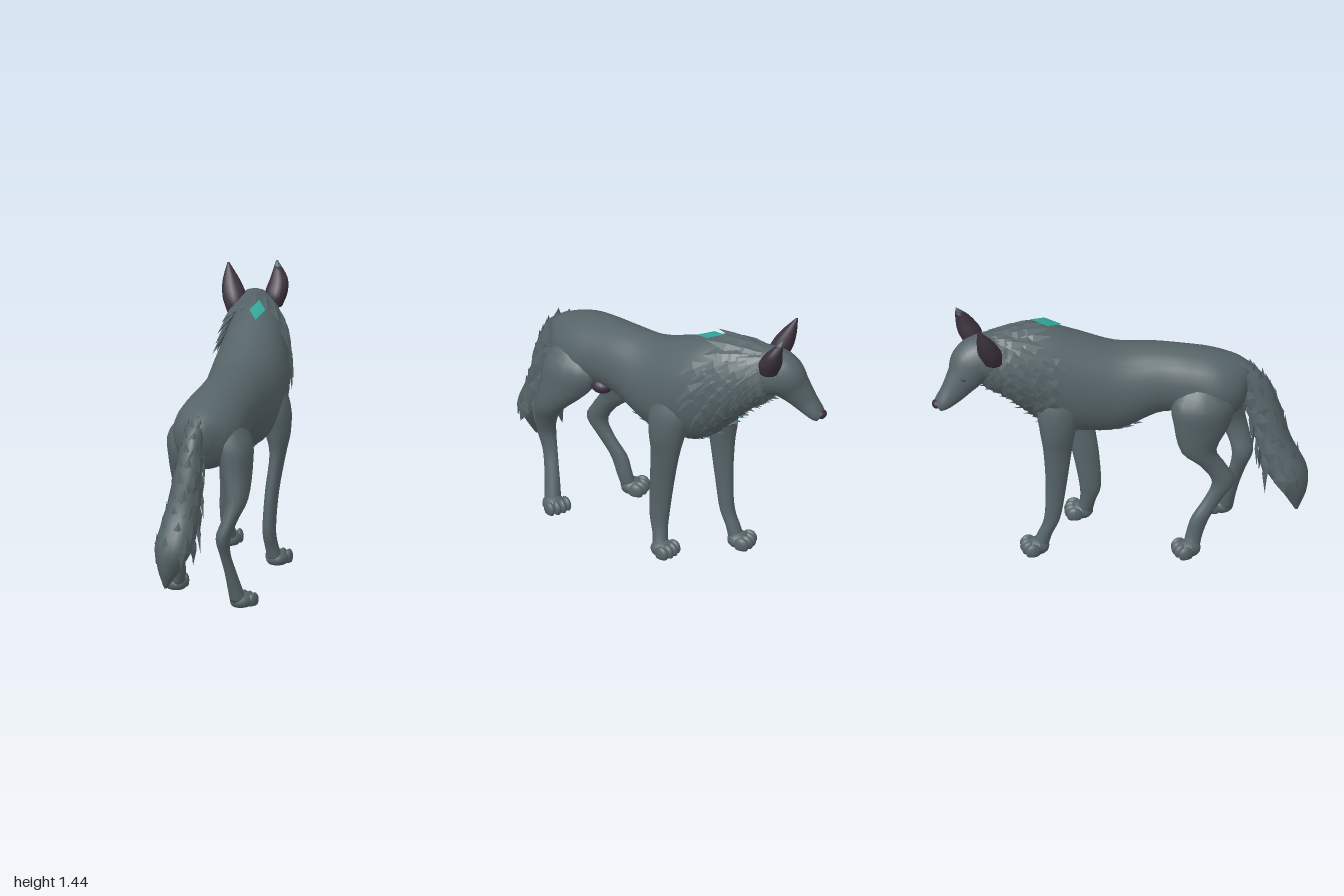
import * as THREE from 'three';
import { mergeGeometries } from 'three/addons/utils/BufferGeometryUtils.js';

const V = (x, y, z) => new THREE.Vector3(x, y, z);

const material = (name, color) => {
  const m = new THREE.MeshStandardMaterial({ color });
  m.name = name;
  return m;
};

// Seeded random numbers for the fur
let seed = 7;
const rand = () => (seed = (seed * 16807) % 2147483647) / 2147483647;

// Smooth sampler over rows of [x, y, z, halfWidth, halfDepth]; axis fixes the section plane
function sampler(rows, axis) {
  const centre = new THREE.CatmullRomCurve3(rows.map(r => V(r[0], r[1], r[2])), false, 'catmullrom');
  const radii = new THREE.CatmullRomCurve3(rows.map(r => V(r[3], r[4], 0)), false, 'catmullrom');
  return (t, a) => {
    const c = centre.getPoint(t), r = radii.getPoint(t);
    const w = axis ? axis.clone() : centre.getTangent(t);
    const u = V(1, 0, 0).addScaledVector(w, -w.x).normalize();
    const v = w.clone().cross(u);
    const cos = Math.cos(a), sin = Math.sin(a);
    const normal = u.clone().multiplyScalar(cos / Math.max(r.x, 0.004))
      .addScaledVector(v, sin / Math.max(r.y, 0.004)).normalize();
    const point = c.clone().addScaledVector(u, r.x * cos).addScaledVector(v, r.y * sin);
    return { c, point, normal };
  };
}

// Closed skin through the sampled sections
function loft(at, steps = 24, sides = 18) {
  const pos = [], index = [];
  for (let i = 0; i <= steps; i++)
    for (let j = 0; j < sides; j++)
      pos.push(...at(i / steps, (j / sides) * Math.PI * 2).point.toArray());
  for (let i = 0; i < steps; i++)
    for (let j = 0; j < sides; j++) {
      const a = i * sides + j, b = i * sides + (j + 1) % sides;
      index.push(a, b, a + sides, b, b + sides, a + sides);
    }
  const first = pos.length / 3, last = steps * sides;
  pos.push(...at(0, 0).c.toArray(), ...at(1, 0).c.toArray());
  for (let j = 0; j < sides; j++) {
    const k = (j + 1) % sides;
    index.push(first, k, j, first + 1, last + j, last + k);
  }
  const g = new THREE.BufferGeometry();
  g.setAttribute('position', new THREE.Float32BufferAttribute(pos, 3));
  g.setIndex(index);
  g.computeVertexNormals();
  return g;
}

// One flat blade of fur, pointed at both ends, lying along flow
function lock({ point, normal }, flow, length, width, lift) {
  const d = flow.clone().addScaledVector(normal, -flow.dot(normal)).normalize()
    .addScaledVector(normal, lift).normalize();
  const side = d.clone().cross(normal).normalize();
  const out = side.clone().cross(d);
  const g = new THREE.OctahedronGeometry(1);
  g.scale(width, length / 2, width * 0.28);
  g.translate(0, length * 0.3, 0);
  g.applyMatrix4(new THREE.Matrix4().makeBasis(side, d, out).setPosition(point));
  return g;
}

// Squashed ball that rests flat on the ground
function pad(x, y, z, rx, ry, rz) {
  const g = new THREE.SphereGeometry(1, 14, 10);
  g.scale(rx, ry, rz);
  g.translate(x, y, z);
  const p = g.attributes.position;
  for (let i = 0; i < p.count; i++) p.setY(i, Math.max(0, p.getY(i)));
  g.computeVertexNormals();
  return g;
}

export function createModel() {
  const wolf = new THREE.Group();
  wolf.name = 'wolf';
  const fur = material('greyFur', 0x566468);
  const dark = material('darkSkin', 0x3a303c);
  const teal = material('tealMark', 0x30a397);
  const add = (name, geometry, mat = fur, parent = wolf) => {
    const m = new THREE.Mesh(geometry, mat);
    m.name = name;
    parent.add(m);
    return m;
  };
  const DOWN = V(0, -1, 0), UP = V(0, 1, 0), AHEAD = V(0, 0, -1);

  // Torso from rump to neck
  const torso = sampler([
    [-0.06, 0.96, 0.70, 0.04, 0.06], [-0.055, 0.915, 0.62, 0.14, 0.155],
    [-0.045, 0.925, 0.50, 0.185, 0.185], [-0.015, 0.95, 0.35, 0.18, 0.185],
    [0.02, 0.955, 0.20, 0.178, 0.195], [0.05, 0.915, 0, 0.195, 0.25],
    [0.08, 0.95, -0.20, 0.205, 0.288], [0.09, 0.995, -0.35, 0.193, 0.30],
    [0.085, 1.07, -0.50, 0.17, 0.245], [0.07, 1.125, -0.61, 0.15, 0.188],
    [0.055, 1.16, -0.72, 0.11, 0.14]], AHEAD);
  add('torso', loft(torso, 44, 26));

  // Neck ruff: rings of locks, drooping on the flanks
  const mane = [];
  for (let ring = 0; ring < 8; ring++) {
    const t = 0.735 + ring * 0.037;
    for (let j = 0; j < 17; j++) {
      const a = ((j + (ring % 2) / 2) / 17) * Math.PI * 2 + (rand() - 0.5) * 0.2;
      const top = Math.sin(a) < -0.75;
      if (top && ring < 2) continue;
      const flow = V(0, -1.1 * Math.abs(Math.cos(a)) - (Math.sin(a) > 0.3 ? 0.5 : 0), 1);
      mane.push(lock(torso(t, a), flow, 0.16 + rand() * 0.08, 0.042, top ? 0.06 : 0.08));
    }
  }
  add('mane', mergeGeometries(mane));

  // Short fringe under the chest
  const fringe = [];
  for (let i = 0; i < 12; i++)
    for (const s of [-0.25, 0, 0.25])
      fringe.push(lock(torso(0.47 + i * 0.022, Math.PI / 2 + s), V(0, -0.3, 1), 0.09, 0.025, 0.08));
  add('chestFringe', mergeGeometries(fringe));

  // Head with a stop below the brow and a drooping muzzle
  add('head', loft(sampler([
    [0.06, 1.17, -0.60, 0.12, 0.13], [0.05, 1.175, -0.70, 0.125, 0.138],
    [0.037, 1.155, -0.77, 0.11, 0.132], [0.014, 1.09, -0.828, 0.08, 0.095],
    [-0.002, 1.02, -0.888, 0.057, 0.069], [-0.01, 0.968, -0.943, 0.051, 0.046],
    [-0.014, 0.948, -0.972, 0.038, 0.03]]), 28, 20));
  const nose = add('nose', new THREE.SphereGeometry(1, 14, 10), dark);
  nose.scale.set(0.031, 0.024, 0.024);
  nose.position.set(-0.014, 0.963, -0.976);
  for (const s of [-1, 1]) {
    const eye = add(s < 0 ? 'rightEye' : 'leftEye', new THREE.SphereGeometry(1, 10, 8), dark);
    eye.scale.set(0.0045, 0.007, 0.016);
    eye.position.set(0.012 + s * 0.077, 1.125, -0.845);
    eye.rotation.set(0.5, s * 0.5, 0);
  }

  // Pointed ears, the left one with a grey tip
  add('rightEar', loft(sampler([
    [-0.045, 1.20, -0.68, 0.05, 0.05], [-0.055, 1.27, -0.70, 0.065, 0.062],
    [-0.076, 1.35, -0.73, 0.048, 0.044], [-0.098, 1.437, -0.77, 0.006, 0.006]], UP), 14, 12), dark);
  const leftEar = sampler([
    [0.14, 1.22, -0.745, 0.05, 0.05], [0.156, 1.29, -0.765, 0.059, 0.062],
    [0.166, 1.36, -0.795, 0.044, 0.042], [0.15, 1.437, -0.835, 0.006, 0.006]], UP);
  add('leftEar', loft((t, a) => leftEar(t * 0.88, a), 14, 12), dark);
  add('leftEarTip', loft((t, a) => leftEar(0.88 + t * 0.12, a), 4, 12));

  // Legs in mid stride, each with a paw: [x, z, turn]
  const legs = {
    leftHind: { paw: [0.145, 0.565, -0.45], rows: [
      [0.01, 1.04, 0.5, 0.05, 0.05], [0.08, 0.89, 0.49, 0.10, 0.165], [0.105, 0.75, 0.525, 0.088, 0.15],
      [0.12, 0.6, 0.617, 0.06, 0.085], [0.09, 0.5, 0.657, 0.043, 0.063], [0.055, 0.4, 0.675, 0.04, 0.056],
      [0.062, 0.3, 0.65, 0.029, 0.044], [0.085, 0.2, 0.625, 0.031, 0.042],
      [0.108, 0.1, 0.605, 0.039, 0.043], [0.125, 0.03, 0.595, 0.045, 0.045]] },
    rightHind: { paw: [-0.24, 0.31, 0.2], rows: [
      [-0.1, 1.04, 0.43, 0.05, 0.05], [-0.16, 0.89, 0.42, 0.105, 0.165], [-0.18, 0.75, 0.41, 0.085, 0.15],
      [-0.185, 0.6, 0.39, 0.062, 0.095], [-0.19, 0.5, 0.465, 0.045, 0.066], [-0.2, 0.4, 0.52, 0.04, 0.062],
      [-0.205, 0.3, 0.465, 0.032, 0.05], [-0.214, 0.2, 0.395, 0.033, 0.05],
      [-0.215, 0.1, 0.36, 0.034, 0.045], [-0.23, 0.03, 0.34, 0.04, 0.045]] },
    leftFront: { paw: [0.24, -0.165, -0.15], rows: [
      [0.15, 1.08, -0.21, 0.05, 0.06], [0.2, 0.88, -0.19, 0.098, 0.125], [0.235, 0.73, -0.175, 0.072, 0.105],
      [0.238, 0.6, -0.165, 0.044, 0.083], [0.212, 0.4, -0.13, 0.037, 0.07],
      [0.2, 0.2, -0.108, 0.036, 0.057], [0.212, 0.1, -0.12, 0.037, 0.042], [0.23, 0.03, -0.135, 0.042, 0.045]] },
    rightFront: { paw: [-0.052, -0.46, 0.1], rows: [
      [0.01, 1.05, -0.3, 0.05, 0.06], [-0.02, 0.88, -0.32, 0.088, 0.12], [-0.05, 0.73, -0.335, 0.068, 0.095],
      [-0.055, 0.6, -0.337, 0.045, 0.075], [-0.057, 0.4, -0.345, 0.034, 0.056],
      [-0.057, 0.2, -0.365, 0.036, 0.043], [-0.053, 0.1, -0.405, 0.036, 0.04], [-0.05, 0.03, -0.43, 0.04, 0.045]] },
  };
  for (const [name, { paw, rows }] of Object.entries(legs)) {
    add(name + 'Leg', loft(sampler(rows, DOWN), 30, 14));
    const foot = new THREE.Group();
    foot.name = name + 'Paw';
    foot.position.set(paw[0], 0, paw[1]);
    foot.rotation.y = paw[2];
    add('pawPad', pad(0, 0.028, 0.015, 0.06, 0.046, 0.065), fur, foot);
    for (let i = 0; i < 4; i++) {
      const o = i - 1.5;
      add('toe', pad(o * 0.034, 0.026, -0.036 + Math.abs(o) * 0.01, 0.021, 0.042, 0.042), fur, foot);
    }
    wolf.add(foot);
  }

  // Bushy tail hanging to the right
  const tail = sampler([
    [-0.08, 1.055, 0.60, 0.035, 0.05], [-0.1, 0.96, 0.68, 0.052, 0.085], [-0.115, 0.8, 0.755, 0.07, 0.08],
    [-0.14, 0.6, 0.80, 0.088, 0.09], [-0.175, 0.42, 0.86, 0.102, 0.11],
    [-0.2, 0.3, 0.895, 0.066, 0.068], [-0.22, 0.185, 0.905, 0.008, 0.008]], DOWN);
  add('tail', loft(tail, 26, 16));
  const tailLocks = [];
  for (let ring = 0; ring < 9; ring++)
    for (let j = 0; j < 7; j++) {
      const a = ((j + (ring % 2) / 2 + rand() * 0.3) / 7) * Math.PI * 2;
      tailLocks.push(lock(tail(0.08 + ring * 0.07, a), V(-0.15, -1, 0.25), 0.16 + rand() * 0.06, 0.04, 0.04));
    }
  add('tailFur', mergeGeometries(tailLocks));

  // Diamond mark on the withers and a teal lock on the throat
  const mark = add('backMark', new THREE.OctahedronGeometry(1), teal);
  mark.scale.set(0.042, 0.0045, 0.09);
  mark.position.set(0.105, 1.317, -0.365);
  mark.rotation.x = 0.3;
  const throat = torso(0.87, 1.2);
  throat.point.addScaledVector(throat.normal, 0.024);
  add('throatMark', lock(throat, V(0, -0.5, 1), 0.09, 0.016, 0.05), teal);

  // Dark skin in the left flank fold
  const flank = add('flankSkin', new THREE.SphereGeometry(1, 16, 12), dark);
  flank.scale.set(0.05, 0.042, 0.06);
  flank.position.set(0.105, 0.808, 0.305);

  return wolf;
}
